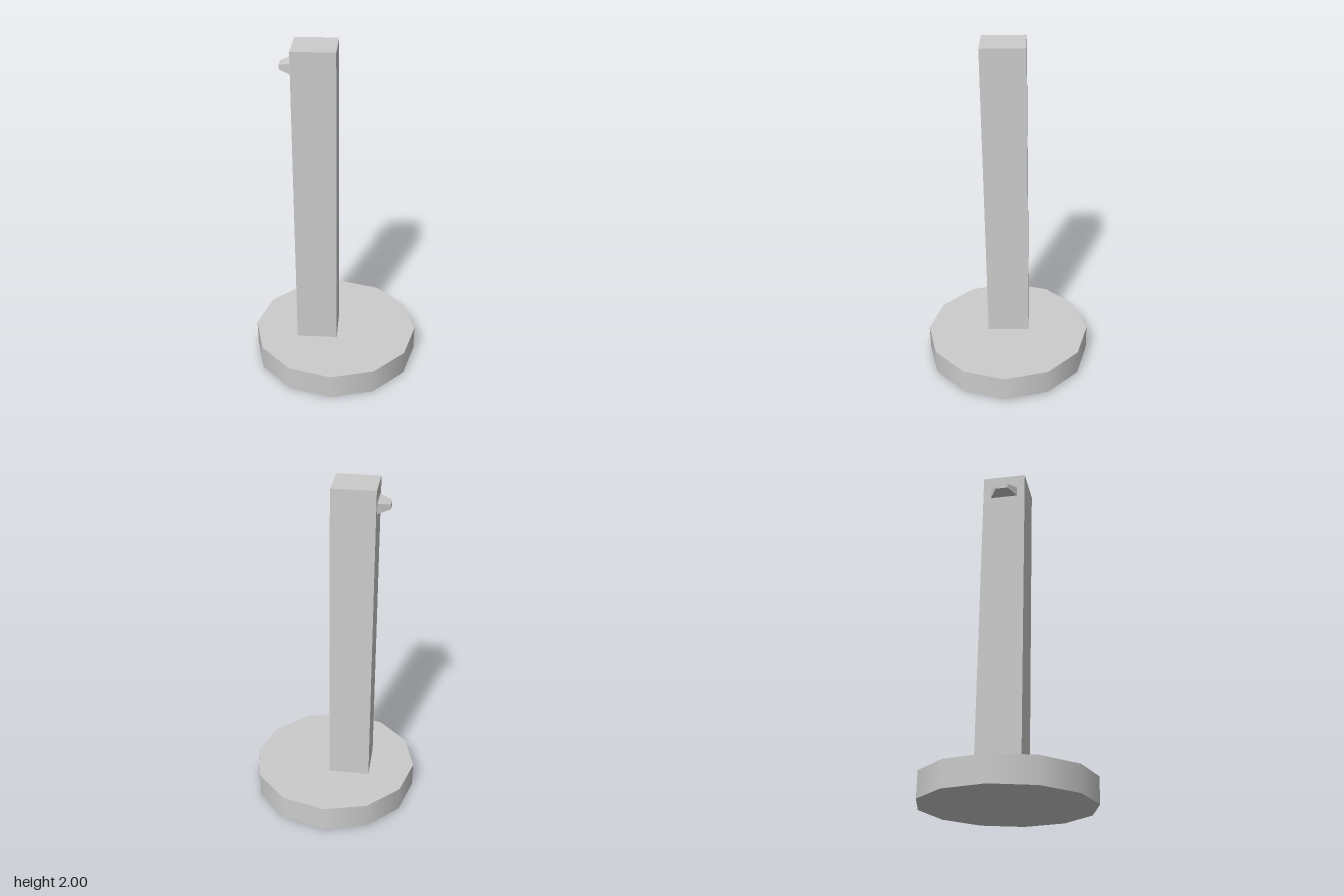
import * as THREE from 'three';

export function createModel() {
  const model = new THREE.Group();
  const smooth = new THREE.MeshStandardMaterial({ color: 0xcccccc });
  const flat = new THREE.MeshStandardMaterial({ color: 0xcccccc, flatShading: true });

  const add = (name, geometry, material, x, y, z) => {
    const mesh = new THREE.Mesh(geometry, material);
    mesh.name = name;
    mesh.position.set(x, y, z);
    stand.add(mesh);
  };

  // The whole stand leans slightly forward and is turned a little
  const stand = new THREE.Group();
  stand.name = 'stand';
  stand.rotation.set(0.019, 0.045, 0);
  stand.position.y = 0.01;
  model.add(stand);

  // Twelve-sided base disc
  const baseHeight = 0.152;
  add('base', new THREE.CylinderGeometry(0.5, 0.5, baseHeight, 12), smooth, 0, baseHeight / 2, 0);

  // Off-centre square post, sunk into the base
  const postX = -0.107, postZ = -0.007, postWidth = 0.244, postTop = 1.987, postFoot = 0.1;
  add('post', new THREE.BoxGeometry(postWidth, postTop - postFoot, 0.255), flat,
    postX, (postTop + postFoot) / 2, postZ);

  // Tapered four-sided peg pointing out of the post's right face
  const r = Math.SQRT1_2, length = 0.069;
  const peg = new THREE.CylinderGeometry(r * 0.46, r, 1, 4)
    .rotateY(Math.PI / 4)
    .rotateZ(Math.PI / 2)
    .scale(length, 0.058, 0.16);
  add('peg', peg, flat, postX - postWidth / 2 - length / 2, 1.872, postZ);

  return model;
}
